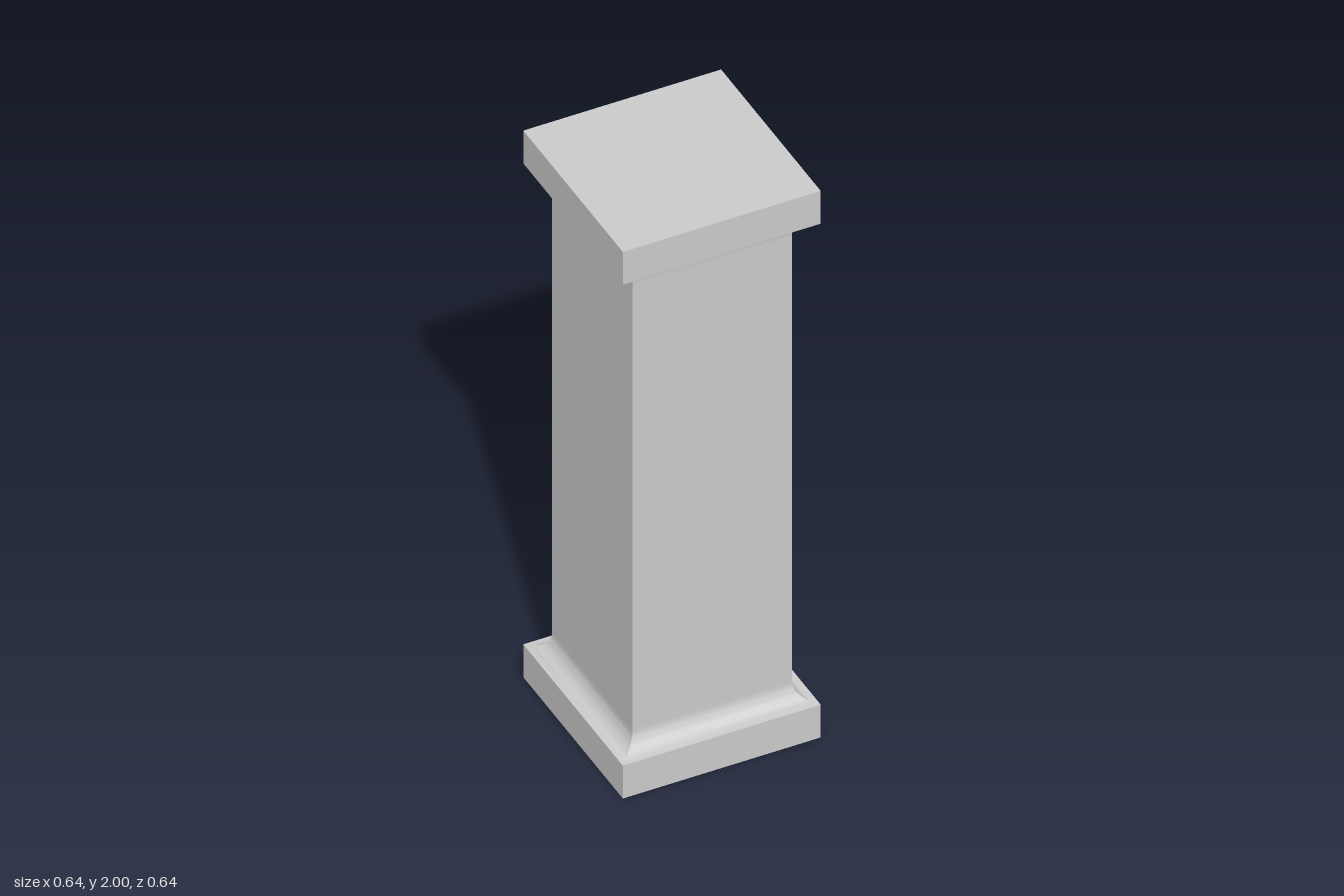
import * as THREE from 'three';
import { toCreasedNormals } from 'three/addons/utils/BufferGeometryUtils.js';

const HEIGHT = 2;
const SLAB_HALF = 0.32, SLAB_HEIGHT = 0.12;
const SHAFT_HALF = 0.258, COVE = SLAB_HALF - SHAFT_HALF;

export function createModel() {
  const group = new THREE.Group();
  const material = new THREE.MeshStandardMaterial({ color: 0xcccccc });
  const add = (name, geometry, y = 0) => {
    const mesh = new THREE.Mesh(geometry, material);
    mesh.name = name;
    mesh.position.y = y;
    group.add(mesh);
  };

  // Square slabs at the foot and the top
  const slab = new THREE.BoxGeometry(SLAB_HALF * 2, SLAB_HEIGHT, SLAB_HALF * 2);
  add('basePlinth', slab, SLAB_HEIGHT / 2);
  add('capSlab', slab, HEIGHT - SLAB_HEIGHT / 2);

  // Half profile of the shaft: quarter-round cove, then the straight face
  const lower = [];
  const steps = 12;
  for (let i = 0; i <= steps; i++) {
    const a = (i / steps) * Math.PI / 2;
    lower.push([SLAB_HALF - COVE * Math.sin(a), SLAB_HEIGHT + COVE * (1 - Math.cos(a))]);
  }
  lower.push([SHAFT_HALF, SLAB_HEIGHT + COVE + 0.01]);
  const upper = lower.map(([r, y]) => [r, HEIGHT - y]).reverse();

  // Four-sided lathe gives a square shaft with mitred coves
  const profile = [...lower, ...upper].map(([r, y]) => new THREE.Vector2(r * Math.SQRT2, y));
  const shaft = new THREE.LatheGeometry(profile, 4, Math.PI / 4);
  shaft.deleteAttribute('normal');
  shaft.deleteAttribute('uv');
  add('shaftWithCoves', toCreasedNormals(shaft, 0.6));

  return group;
}
